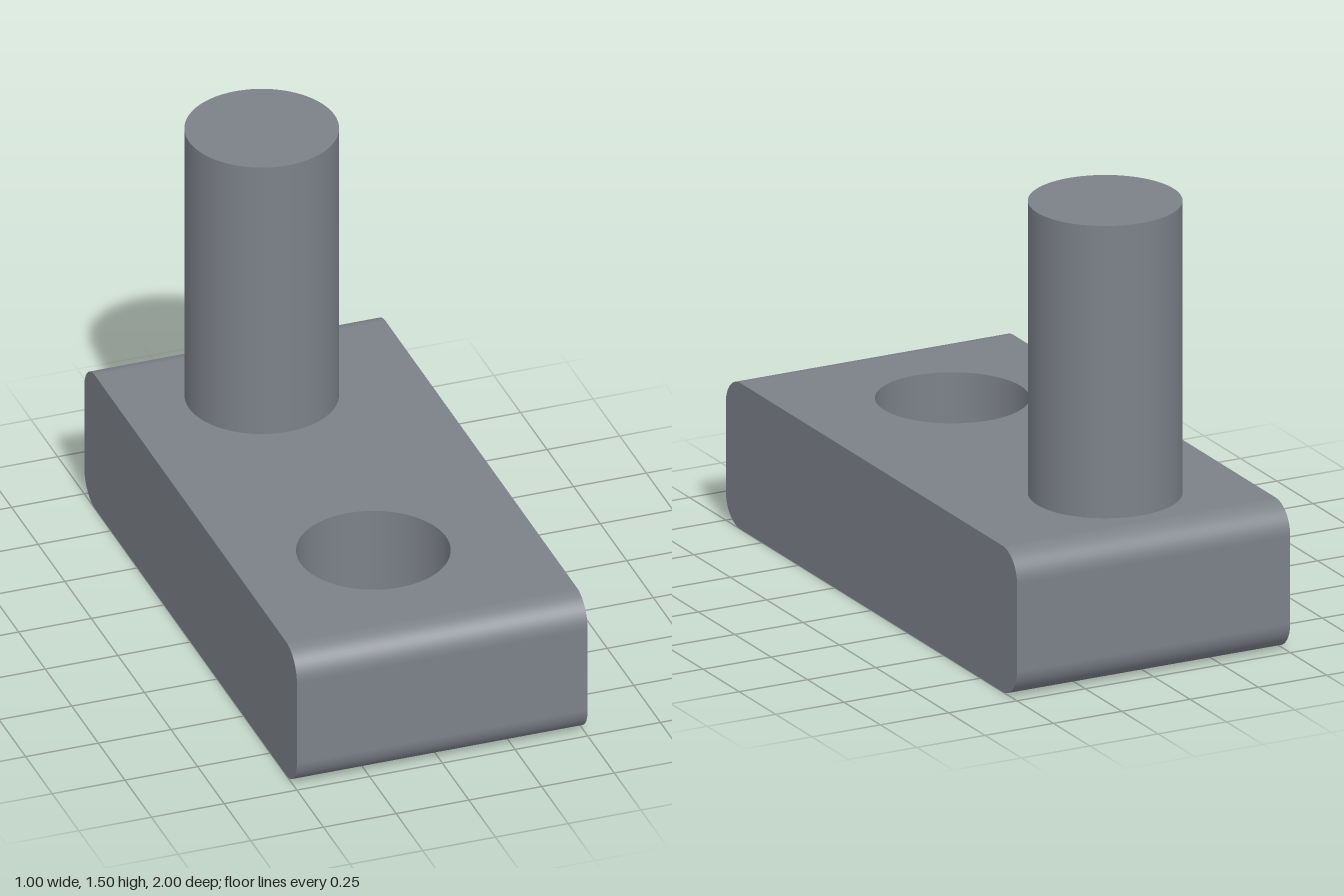
import * as THREE from 'three';
import { mergeGeometries } from 'three/addons/utils/BufferGeometryUtils.js';

const W = 1, H = 0.5, L = 2, R = 0.1; // block size and edge radius
const HOLE_R = 0.25, AXIS_X = -0.036, HOLE_Z = 0.45, PIN_Z = -0.6;
const ARC = 12; // steps per rounded edge

// Flat face with the round hole, for the top and bottom of the block
function holedFace(holeY) {
  const z = L / 2 - R, x = W / 2;
  const shape = new THREE.Shape([
    new THREE.Vector2(-x, -z), new THREE.Vector2(x, -z),
    new THREE.Vector2(x, z), new THREE.Vector2(-x, z),
  ]);
  shape.holes.push(new THREE.Path().absarc(AXIS_X, holeY, HOLE_R, 0, Math.PI * 2, true));
  return new THREE.ShapeGeometry(shape, 32);
}

// Side wall: rectangle with four rounded corners
function sideFace() {
  const z = L / 2 - R, q = Math.PI / 2;
  const shape = new THREE.Shape();
  shape.absarc(z, R, R, -q, 0);
  shape.absarc(z, H - R, R, 0, q);
  shape.absarc(-z, H - R, R, q, 2 * q);
  shape.absarc(-z, R, R, 2 * q, 3 * q);
  return new THREE.ShapeGeometry(shape, ARC);
}

// End wall facing +z: a plane bent over the top and bottom rounded edges
function endFace() {
  const geo = new THREE.PlaneGeometry(W, H, 1, 2 * ARC + 1);
  const { position, normal } = geo.attributes;
  for (let i = 0; i < position.count; i++) {
    const row = Math.floor(i / 2), upper = row <= ARC;
    const a = (Math.PI / 2) * (1 - (upper ? row : row - 1) / ARC);
    const c = Math.cos(a), s = Math.sin(a);
    position.setY(i, (upper ? H - R : R) + R * s);
    position.setZ(i, L / 2 - R + R * c);
    normal.setXYZ(i, 0, s, c);
  }
  return geo;
}

export function createModel() {
  const group = new THREE.Group();
  const material = new THREE.MeshStandardMaterial({ color: 0x7c8189 }); // steel grey
  const add = (name, geometry) => {
    const mesh = new THREE.Mesh(geometry, material);
    mesh.name = name;
    group.add(mesh);
    return mesh;
  };

  // Base block with rounded ends and a through hole
  const q = Math.PI / 2;
  const bore = new THREE.LatheGeometry(
    [new THREE.Vector2(HOLE_R, H), new THREE.Vector2(HOLE_R, 0)], 64);
  add('baseBlock', mergeGeometries([
    holedFace(-HOLE_Z).rotateX(-q).translate(0, H, 0),
    holedFace(HOLE_Z).rotateX(q),
    sideFace().rotateY(q).translate(W / 2, 0, 0),
    sideFace().rotateY(-q).translate(-W / 2, 0, 0),
    endFace(),
    endFace().rotateY(Math.PI),
    bore.translate(AXIS_X, 0, HOLE_Z),
  ]));

  // Upright pin standing on the rear of the block
  add('pin', new THREE.CylinderGeometry(HOLE_R, HOLE_R, 1, 64))
    .position.set(AXIS_X, H + 0.5, PIN_Z);

  return group;
}
